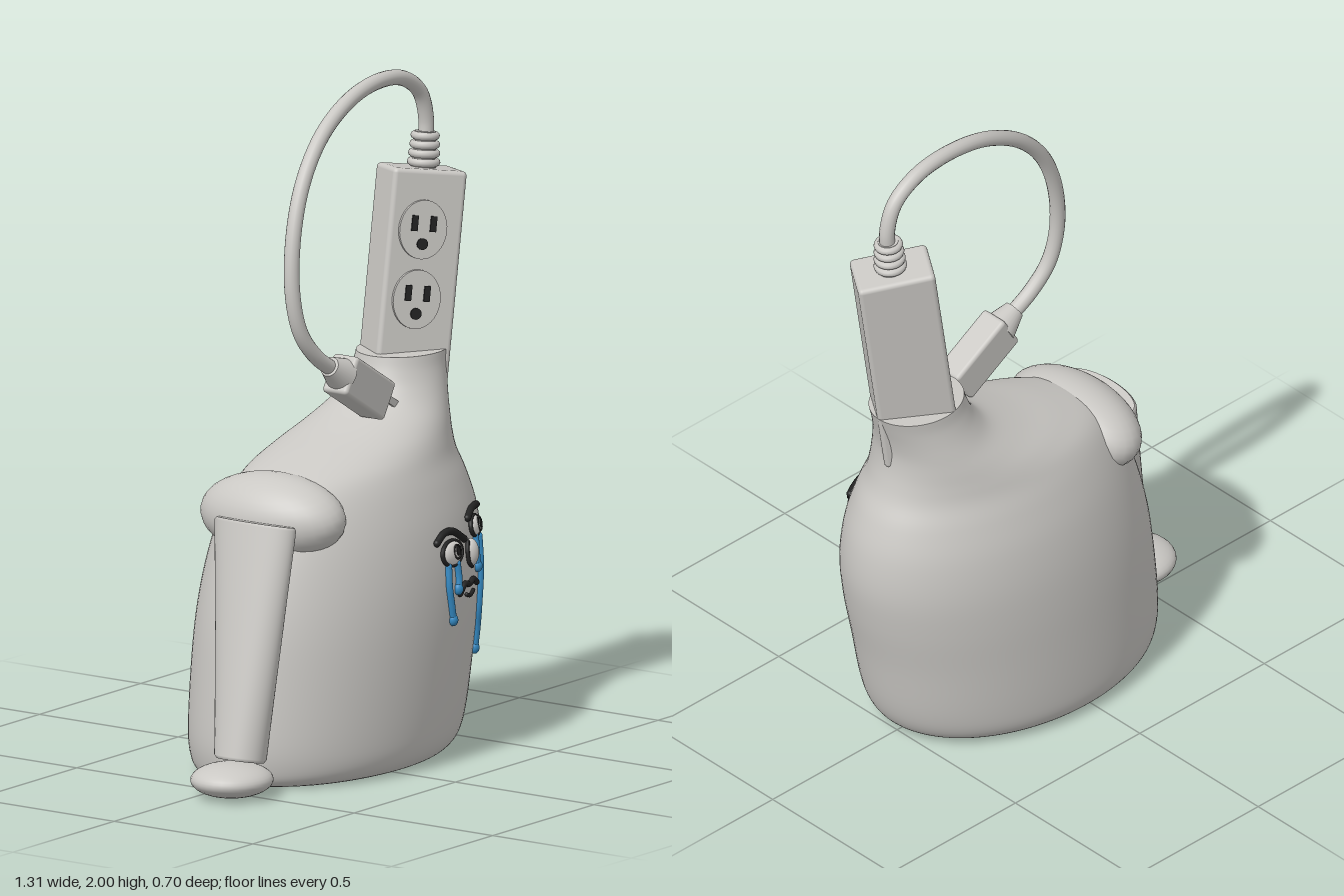
import * as THREE from 'three';
import { RoundedBoxGeometry } from 'three/addons/geometries/RoundedBoxGeometry.js';

const paint = (name, color) => {
  const m = new THREE.MeshStandardMaterial({ color });
  m.name = name;
  return m;
};

// Stack of elliptical rings [cx, cy, cz, rx, rz, tilt], closed by flat caps
function loft(rings, seg = 64) {
  const pos = [], idx = [];
  const addRing = ([cx, cy, cz, rx, rz, tilt = 0]) => {
    for (let j = 0; j < seg; j++) {
      const a = (j / seg) * Math.PI * 2, u = Math.cos(a) * rx;
      pos.push(cx + u * Math.cos(tilt), cy + u * Math.sin(tilt), cz + Math.sin(a) * rz);
    }
  };
  rings.forEach(addRing);
  for (let i = 0; i < rings.length - 1; i++) {
    for (let j = 0; j < seg; j++) {
      const a = i * seg + j, b = i * seg + (j + 1) % seg;
      idx.push(a, a + seg, b, b, a + seg, b + seg);
    }
  }
  for (const [ring, top] of [[rings[0], false], [rings[rings.length - 1], true]]) {
    const s = pos.length / 3;
    addRing(ring);
    pos.push(ring[0], ring[1], ring[2]);
    for (let j = 0; j < seg; j++) {
      const a = s + j, b = s + (j + 1) % seg;
      idx.push(s + seg, top ? b : a, top ? a : b);
    }
  }
  const g = new THREE.BufferGeometry();
  g.setAttribute('position', new THREE.Float32BufferAttribute(pos, 3));
  g.setIndex(idx);
  g.computeVertexNormals();
  return g;
}

// Body profile: height, left edge, right edge, half depth
const PROFILE = [
  [0.005, -0.40, 0.44, 0.27], [0.02, -0.435, 0.49, 0.305], [0.06, -0.45, 0.53, 0.33],
  [0.14, -0.455, 0.56, 0.34], [0.3, -0.44, 0.592, 0.345], [0.45, -0.42, 0.625, 0.344],
  [0.58, -0.39, 0.642, 0.334], [0.7, -0.35, 0.632, 0.312], [0.8, -0.3, 0.6, 0.28],
  [0.87, -0.23, 0.565, 0.25], [0.92, -0.1, 0.548, 0.226], [0.97, 0.06, 0.538, 0.198],
  [1.02, 0.18, 0.536, 0.17], [1.07, 0.235, 0.545, 0.148], [1.12, 0.26, 0.56, 0.132],
  [1.16, 0.272, 0.573, 0.126],
];
const [leftEdge, rightEdge, depth] = [1, 2, 3].map(
  (k) => new THREE.SplineCurve(PROFILE.map((p) => new THREE.Vector2(p[k], p[0]))));
function bodyRing(t) {
  const l = leftEdge.getPoint(t), r = rightEdge.getPoint(t).x;
  return [(l.x + r) / 2, l.y, 0, (r - l.x) / 2, depth.getPoint(t).x];
}

// Point on the front of the body at x, y
function onBody(x, y, lift = 0) {
  let lo = 0, hi = 1;
  for (let i = 0; i < 24; i++) {
    const mid = (lo + hi) / 2;
    if (leftEdge.getPoint(mid).y < y) lo = mid; else hi = mid;
  }
  const [cx, , , rx, rz] = bodyRing(lo);
  const u = (x - cx) / rx;
  return new THREE.Vector3(x, y, rz * Math.sqrt(Math.max(0, 1 - u * u)) + lift);
}

export function createModel() {
  const model = new THREE.Group();
  const grey = paint('warm grey', 0xcac8c4);
  const pale = paint('eye white', 0xdcdad6);
  const dark = paint('ink black', 0x232323);
  const blue = paint('tear blue', 0x3489c2);

  const add = (name, geo, mat, parent = model, x = 0, y = 0, z = 0) => {
    const m = new THREE.Mesh(geo, mat);
    m.name = name;
    m.position.set(x, y, z);
    parent.add(m);
    return m;
  };
  const ball = new THREE.SphereGeometry(1, 32, 20);

  // Body
  add('body', loft(Array.from({ length: 76 }, (_, i) => bodyRing(i / 75)), 96), grey);

  // Shoulder, limb and foot
  const shoulder = add('shoulder', ball, grey, model, -0.215, 0.775, 0);
  shoulder.scale.set(0.14, 0.125, 0.243);
  shoulder.rotation.z = 0.25;
  add('limb', loft([
    [-0.494, 0.105, 0.085, 0.068, 0.07, -0.2], [-0.493, 0.115, 0.085, 0.075, 0.078, -0.2],
    [-0.42, 0.45, 0.06, 0.066, 0.11, -0.2], [-0.351, 0.775, 0.035, 0.056, 0.142, -0.2],
    [-0.349, 0.783, 0.035, 0.05, 0.136, -0.2],
  ]), grey);
  add('foot', ball, grey, model, -0.535, 0.056, 0.085).scale.set(0.125, 0.05, 0.12);

  // Power strip leaning out of the neck
  const strip = new THREE.Group();
  strip.name = 'powerStrip';
  strip.position.set(0.52, 1.68, 0);
  strip.rotation.order = 'ZYX';
  strip.rotation.set(0, -0.58, -0.157);
  model.add(strip);
  add('stripCase', new RoundedBoxGeometry(0.23, 0.7, 0.155, 3, 0.014), grey, strip, 0, -0.35, 0);
  const disc = new THREE.CylinderGeometry(1, 1, 1, 40).rotateX(Math.PI / 2);
  for (const y of [-0.175, -0.38]) {
    const outlet = new THREE.Group();
    outlet.name = 'outlet';
    outlet.position.set(-0.012, y, 0.078);
    strip.add(outlet);
    add('outletPlate', disc, grey, outlet).scale.set(0.074, 0.087, 0.02);
    for (const s of [-1, 1]) {
      add('slot', new THREE.BoxGeometry(0.019, 0.046, 0.009), dark, outlet, s * 0.029, 0.018, 0.01);
    }
    add('groundHole', disc, dark, outlet, 0, -0.042, 0.01).scale.set(0.017, 0.017, 0.009);
  }

  // Ribbed cable sleeve
  const sleeve = new THREE.Group();
  sleeve.name = 'cableSleeve';
  sleeve.position.set(0.526, 1.68, 0);
  sleeve.rotation.z = -0.1;
  model.add(sleeve);
  add('sleeveCore', new THREE.CylinderGeometry(0.03, 0.038, 0.11, 24), grey, sleeve, 0, 0.05, 0);
  for (let i = 0; i < 4; i++) {
    add('sleeveRib', new THREE.TorusGeometry(0.037 - i * 0.002, 0.012, 10, 28).rotateX(Math.PI / 2),
      grey, sleeve, 0, 0.014 + i * 0.026, 0);
  }

  // Looping cable
  const cablePath = new THREE.CatmullRomCurve3([
    [0.535, 1.74, 0], [0.54, 1.82, 0], [0.51, 1.905, 0], [0.43, 1.96, 0], [0.31, 1.977, 0.003],
    [0.15, 1.95, 0.01], [0, 1.87, 0.018], [-0.11, 1.75, 0.03], [-0.175, 1.6, 0.043],
    [-0.195, 1.44, 0.055], [-0.17, 1.32, 0.065], [-0.11, 1.24, 0.076], [-0.03, 1.185, 0.082],
  ].map((p) => new THREE.Vector3(...p)));
  add('cable', new THREE.TubeGeometry(cablePath, 100, 0.023, 16), grey);

  // Plug with prongs
  const plug = new THREE.Group();
  plug.name = 'plug';
  plug.position.set(0.095, 1.112, 0.083);
  plug.rotation.z = -0.54;
  model.add(plug);
  add('plugCase', new RoundedBoxGeometry(0.225, 0.12, 0.09, 3, 0.012), grey, plug);
  add('plugCollar', new THREE.CylinderGeometry(0.052, 0.03, 0.07, 28).rotateZ(-Math.PI / 2),
    grey, plug, -0.135, 0, 0);
  for (const s of [-1, 1]) {
    add('blade', new THREE.BoxGeometry(0.07, 0.022, 0.008), grey, plug, 0.14, 0.012, s * 0.022);
  }
  add('groundPin', new THREE.CylinderGeometry(0.008, 0.008, 0.07, 12).rotateZ(Math.PI / 2),
    grey, plug, 0.14, -0.03, 0);

  // Face, laid on the curved front of the body
  const stroke = (name, pts, r, mat, lift = 0.004) => {
    const path = new THREE.CatmullRomCurve3(pts.map(([x, y]) => onBody(x, y, lift)));
    add(name, new THREE.TubeGeometry(path, 28, r, 10), mat);
    const ends = [path.getPoint(0), path.getPoint(1)];
    ends.forEach((p) => add(name + 'End', ball, mat, model, p.x, p.y, p.z).scale.setScalar(r));
    return ends[1];
  };
  for (const [x, y, w, h] of [[0.222, 0.624, 0.057, 0.037], [0.402, 0.667, 0.044, 0.031]]) {
    const eye = new THREE.Group();
    eye.name = 'eye';
    const p = onBody(x, y);
    const dx = onBody(x + 0.02, y).sub(p), dy = onBody(x, y + 0.02).sub(p);
    eye.position.copy(p);
    eye.lookAt(p.clone().add(dx.cross(dy).normalize()));
    model.add(eye);
    add('eyeball', ball, pale, eye).scale.set(w, h, 0.02);
    add('eyeRim', new THREE.TorusGeometry(1, 0.13, 10, 40), dark, eye, 0, 0, 0.004).scale.set(w, h, 0.05);
    add('irisRing', new THREE.TorusGeometry(0.02, 0.003, 8, 28), dark, eye, 0.008, 0.002, 0.018);
    add('pupil', disc, dark, eye, 0.008, 0.004, 0.019).scale.set(0.009, 0.014, 0.008);
  }
  stroke('brow', [[0.15, 0.666], [0.19, 0.686], [0.24, 0.685], [0.305, 0.65]], 0.011, dark);
  stroke('brow', [[0.352, 0.7], [0.39, 0.716], [0.43, 0.718], [0.465, 0.714]], 0.011, dark);
  const n = onBody(0.342, 0.602, 0.004);
  add('nose', ball, grey, model, n.x, n.y, n.z).scale.set(0.024, 0.042, 0.025);
  stroke('noseLine', [[0.325, 0.638], [0.316, 0.605], [0.322, 0.575], [0.342, 0.562]], 0.006, dark, 0.006);
  stroke('mouth', [[0.252, 0.498], [0.285, 0.521], [0.32, 0.514], [0.35, 0.522], [0.386, 0.504]], 0.009, dark);
  stroke('lowerLip', [[0.297, 0.487], [0.325, 0.479], [0.352, 0.488]], 0.006, dark);

  // Tears ending in drops
  const tears = [
    [[0.192, 0.59], [0.188, 0.53], [0.196, 0.48], [0.206, 0.43]],
    [[0.243, 0.59], [0.246, 0.55], [0.241, 0.515]],
    [[0.394, 0.635], [0.39, 0.59], [0.396, 0.55]],
    [[0.433, 0.63], [0.43, 0.54], [0.423, 0.42], [0.43, 0.36], [0.428, 0.295]],
  ];
  for (const t of tears) {
    const p = stroke('tear', t, 0.011, blue, 0.005);
    add('teardrop', ball, blue, model, p.x, p.y, p.z).scale.set(0.015, 0.018, 0.014);
  }
  return model;
}
